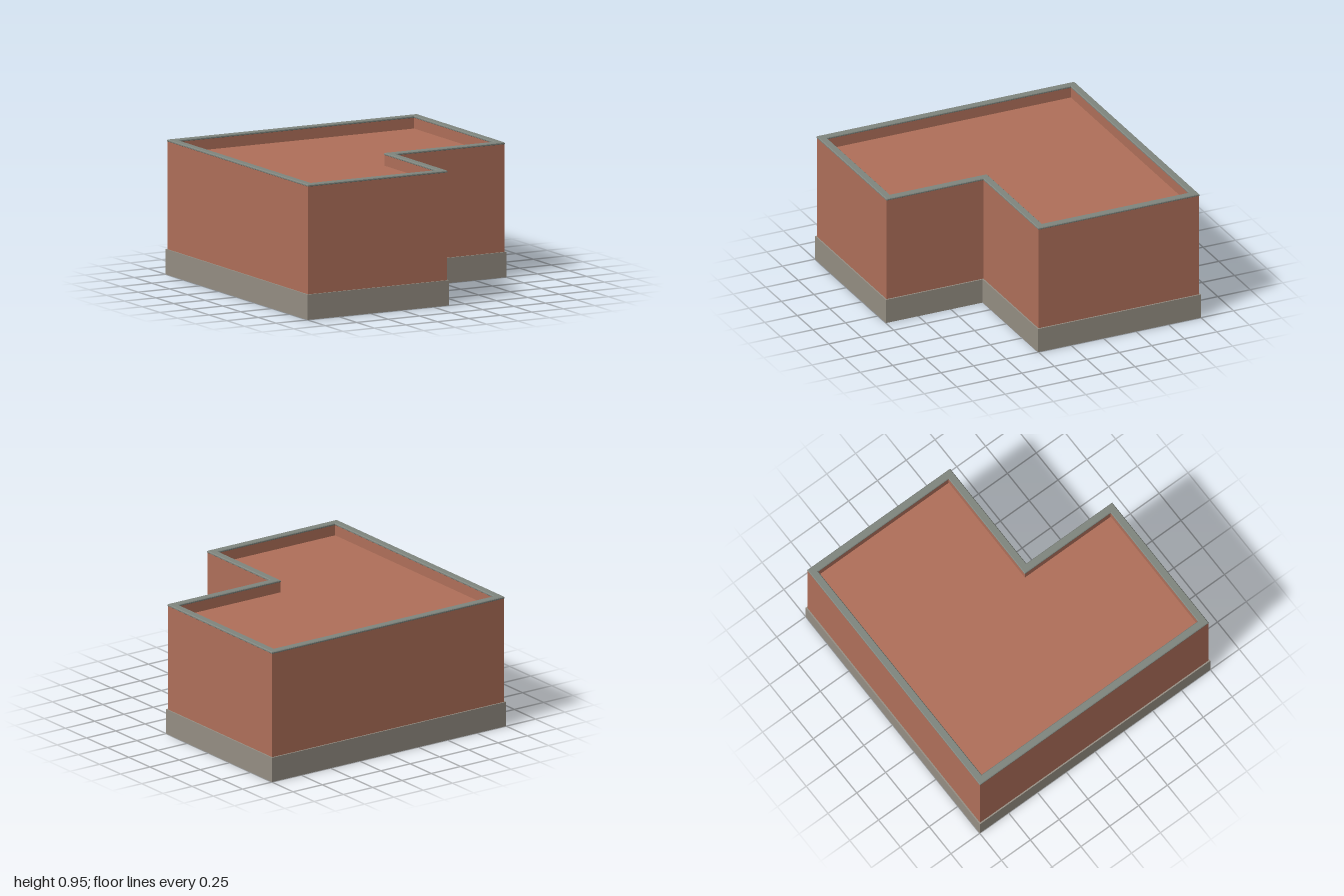
import * as THREE from 'three';

// Corners of the L-shaped plan, moved inwards by d (shape y is -z)
function planPoints(d) {
  const e = 1 - d, nx = 0.125 - d, nz = 0.255 - d;
  return [[-e, -e], [nx, -e], [nx, -nz], [e, -nz], [e, e], [-e, e]]
    .map(([x, y]) => new THREE.Vector2(x, y));
}

// Upright L-shaped prism; a ring when an inner inset is given
function prism(name, material, y0, y1, outer, inner = null, bevel = 0) {
  const shape = new THREE.Shape(planPoints(outer));
  if (inner !== null) shape.holes.push(new THREE.Path(planPoints(inner)));
  const geometry = new THREE.ExtrudeGeometry(shape, {
    depth: y1 - y0 - 2 * bevel,
    bevelEnabled: bevel > 0,
    bevelThickness: bevel,
    bevelSize: bevel,
    bevelOffset: -bevel,
    bevelSegments: 1,
  });
  geometry.rotateX(-Math.PI / 2);
  geometry.translate(0, y0 + bevel, 0);
  const mesh = new THREE.Mesh(geometry, material);
  mesh.name = name;
  return mesh;
}

export function createModel() {
  const brick = new THREE.MeshStandardMaterial({ color: 0xb0705a });
  const stone = new THREE.MeshStandardMaterial({ color: 0x968f84 });
  const metal = new THREE.MeshStandardMaterial({ color: 0x80867f });

  const group = new THREE.Group();
  group.name = 'building';
  group.add(
    // Hollow walls, open underneath
    prism('walls', brick, 0, 0.938, 0.01, 0.06),
    // Flat roof set below the parapet
    prism('roof', brick, 0.81, 0.86, 0.06),
    // Base course around the foot of the walls
    prism('plinth', stone, 0, 0.178, 0, 0.01),
    // Chamfered cap on the parapet
    prism('coping', metal, 0.932, 0.95, 0.008, 0.062, 0.005),
  );
  return group;
}
